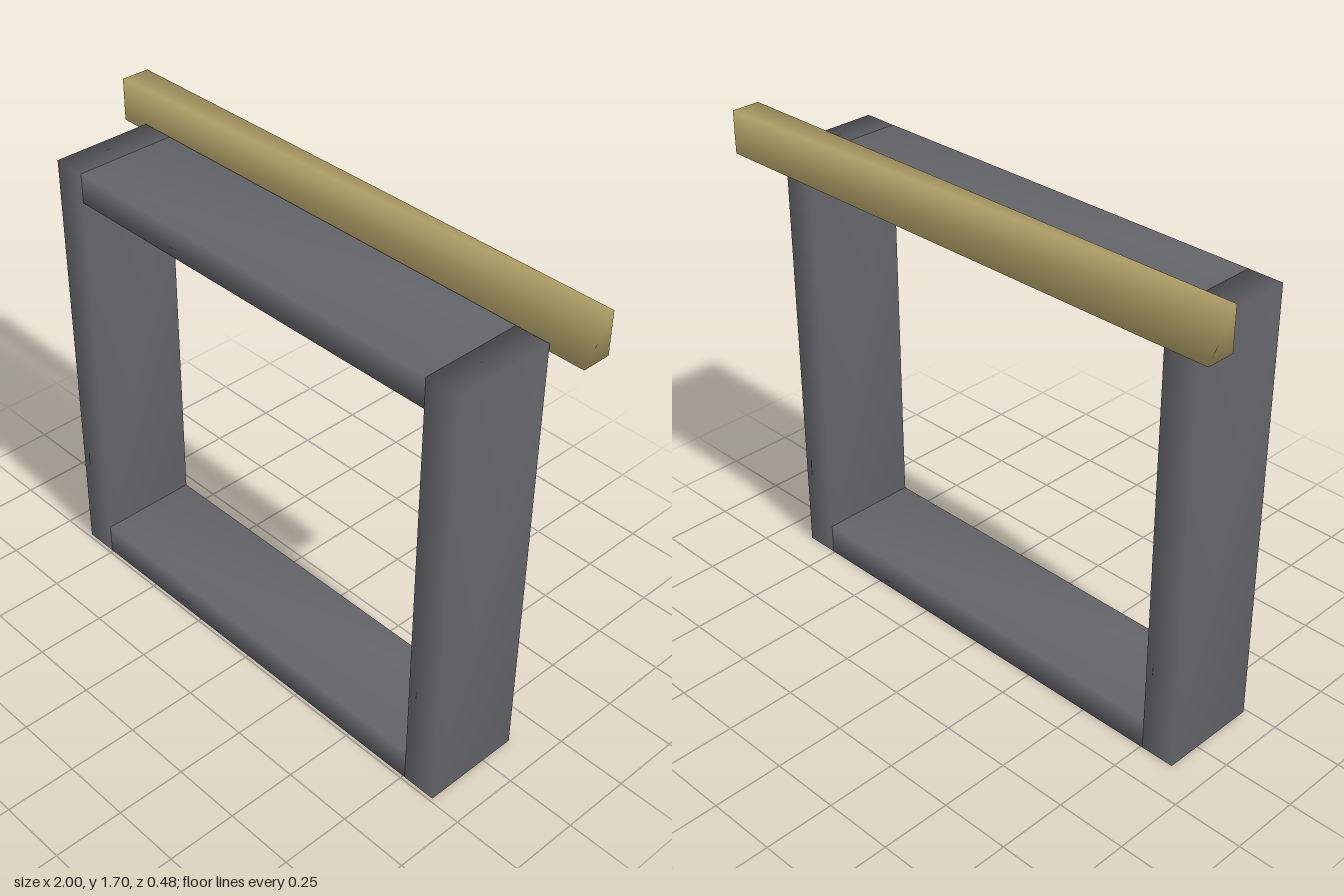
import * as THREE from 'three';
import { mergeVertices } from 'three/addons/utils/BufferGeometryUtils.js';

const frameMaterial = new THREE.MeshStandardMaterial({ color: 0x646569 });
const barMaterial = new THREE.MeshStandardMaterial({ color: 0xb5a46a });

// Box given by its limits on each axis, with corners shared so it shades smoothly
function beam(name, material, [x0, x1], [y0, y1], [z0, z1]) {
  const box = new THREE.BoxGeometry(x1 - x0, y1 - y0, z1 - z0);
  box.deleteAttribute('normal');
  box.deleteAttribute('uv');
  const geometry = mergeVertices(box);
  geometry.computeVertexNormals();
  const mesh = new THREE.Mesh(geometry, material);
  mesh.name = name;
  mesh.position.set((x0 + x1) / 2, (y0 + y1) / 2, (z0 + z1) / 2);
  return mesh;
}

export function createModel() {
  const model = new THREE.Group();
  model.name = 'framedStand';

  const outer = 0.88, inner = 0.757, height = 1.582;
  const depth = [-0.126, 0.238];

  // Rectangular frame: two posts joined by two rails
  const frame = new THREE.Group();
  frame.name = 'frame';
  frame.add(
    beam('leftPost', frameMaterial, [inner, outer], [0, height], depth),
    beam('rightPost', frameMaterial, [-outer, -inner], [0, height], depth),
    beam('bottomRail', frameMaterial, [-inner, inner], [0, 0.112], depth),
    beam('topRail', frameMaterial, [-inner, inner], [1.476, height], depth)
  );
  model.add(frame);

  // Long bar just behind the top of the frame
  model.add(beam('backBar', barMaterial, [-1, 1], [1.55, 1.70], [-0.238, -0.134]));

  return model;
}
